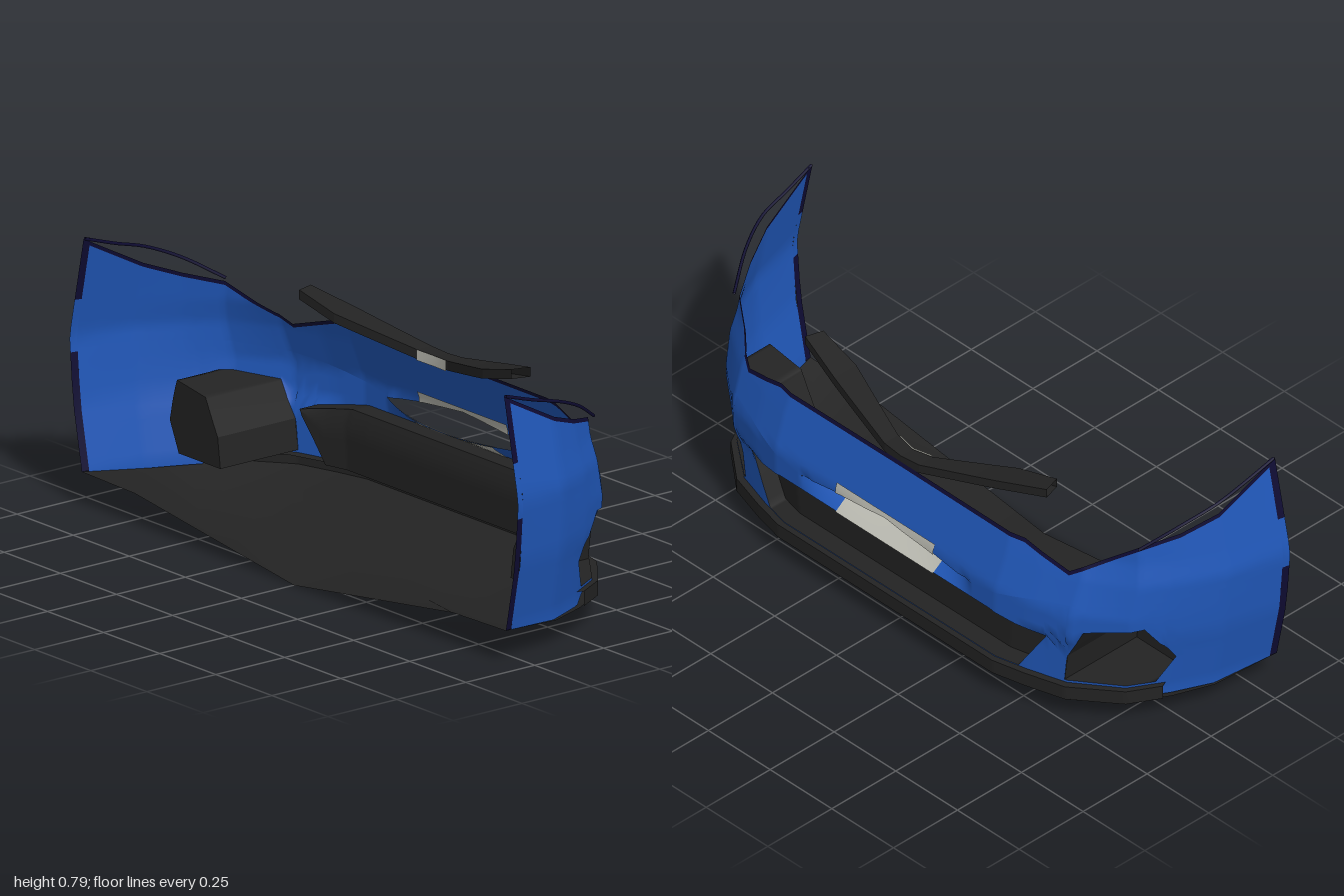
import * as THREE from 'three';

const mat = (name, color) => Object.assign(
  new THREE.MeshStandardMaterial({ color, side: THREE.DoubleSide }), { name });

// piecewise-linear curve through [x, y] pairs
const curve = (...p) => (x) => {
  if (x <= p[0][0]) return p[0][1];
  for (let i = 1; i < p.length; i++) {
    if (x <= p[i][0]) {
      const [a, b] = [p[i - 1], p[i]];
      return a[1] + (b[1] - a[1]) * (x - a[0]) / (b[0] - a[0]);
    }
  }
  return p[p.length - 1][1];
};

// surface sheet: columns at each u, n rows from t = 0 to 1
function sheet(us, n, f) {
  const pos = [], idx = [];
  us.forEach((u, i) => {
    for (let j = 0; j <= n; j++) {
      pos.push(...f(u, j / n));
      if (i && j) {
        const d = i * (n + 1) + j, b = d - n - 1;
        idx.push(b - 1, d - 1, d, b - 1, d, b);
      }
    }
  });
  const g = new THREE.BufferGeometry();
  g.setAttribute('position', new THREE.Float32BufferAttribute(pos, 3));
  g.setIndex(idx);
  g.computeVertexNormals();
  return g;
}

// plan outline, side bulge and vertical lean of the bumper skin
const planZ = curve([0, -0.31], [0.45, -0.31], [0.56, -0.285], [0.69, -0.247],
  [0.83, -0.14], [0.9, -0.02], [0.955, 0.1], [1, 0.31]);
const bulge = curve([0.1, 0.945], [0.3, 0.985], [0.49, 1], [0.61, 0.975], [0.79, 0.937]);
const lean = curve([0.1, 0.018], [0.265, 0.018], [0.285, 0], [0.38, 0], [0.56, 0.065], [0.8, 0.08]);
const leanFade = curve([0.7, 1], [0.83, 0.6], [1, 0]);
// the face below the slit folds inward towards it
const fold = curve([0.3, 0], [0.342, 0.085], [0.345, 0.085], [0.352, 0]);
const skin = (u, y, dz = 0) => {
  const a = Math.abs(u);
  const inward = fold(y) * Math.max(0, 1 - (a / 0.35) ** 2);
  return [u * bulge(y), y, planZ(a) + lean(y) * leanFade(a) + inward + dz];
};

// edges of the skin and its openings, by distance from the centre
const bottom = curve([0, 0.12], [0.86, 0.12], [0.885, 0.08], [0.955, 0.08], [1, 0.1]);
const openLo = curve([0, 0.124], [0.53, 0.124], [0.61, 0.27], [0.679, 0.2], [0.68, 0.13],
  [0.875, 0.13], [0.9, 0.22], [1, 0.22]);
const openHi = curve([0, 0.3], [0.43, 0.3], [0.61, 0.27], [0.679, 0.2], [0.68, 0.22],
  [0.722, 0.325], [0.85, 0.345], [0.9, 0.22], [1, 0.22]);
const slitLo = curve([0, 0.342], [0.35, 0.345], [0.6, 0.4], [1, 0.45]);
const slitHi = curve([0, 0.387], [0.18, 0.37], [0.35, 0.345], [0.6, 0.4], [1, 0.45]);
const top = curve([0, 0.552], [0.5, 0.55], [0.65, 0.505], [0.83, 0.615], [0.9, 0.645],
  [0.955, 0.685], [1, 0.79]);
const trimLine = (a) => top(a) - 0.012;

const corners = [0.35, 0.43, 0.45, 0.53, 0.61, 0.65, 0.679, 0.68, 0.69, 0.722, 0.83, 0.85,
  0.875, 0.885, 0.9, 0.955, 0.995, 1];
function span(from, to) {
  const s = new Set([from, to]);
  for (let i = -50; i <= 50; i++) s.add(i / 50);
  corners.forEach((c) => s.add(c).add(-c));
  return [...s].filter((u) => u >= from && u <= to).sort((a, b) => a - b);
}

export function createModel() {
  const blue = mat('blue paint', 0x2057b8);
  const navy = mat('navy edge', 0x0e0b32);
  const dark = mat('dark plastic', 0x232323);
  const pale = mat('pale plate', 0xb9b9b0);
  const root = new THREE.Group();
  root.name = 'frontBumper';
  const add = (name, geo, m) => {
    const mesh = new THREE.Mesh(geo, m);
    mesh.name = name;
    root.add(mesh);
  };
  const band = (from, to, lo, hi, n = 6, dz = 0) => sheet(span(from, to), n, (u, t) => {
    const a = Math.abs(u);
    return skin(u, lo(a) + (hi(a) - lo(a)) * t, dz);
  });

  // painted skin in three bands around the openings
  add('lowerSkin', band(-0.995, 0.995, bottom, openLo), blue);
  add('middleSkin', band(-0.995, 0.995, openHi, slitLo), blue);
  add('upperSkin', band(-0.995, 0.995, slitHi, trimLine, 10), blue);
  add('topEdge', band(-0.995, 0.995, trimLine, top, 1), navy);

  // rear edges, dark with a painted middle
  for (const s of [-1, 1]) {
    const ys = [0.1, 0.44, 0.6, 0.79];
    for (let i = 0; i < 3; i++) {
      add('rearEdge', band(Math.min(s, s * 0.995), Math.max(s, s * 0.995),
        () => ys[i], () => ys[i + 1], 4), i === 1 ? blue : navy);
    }
  }

  // number plate area, inside and outside, above and below the slit
  for (const dz of [-0.004, 0.004]) {
    add('plateLower', band(-0.2, 0.2, () => 0.3, slitLo, 6, dz), pale);
    add('plateUpper', band(-0.2, 0.2, slitHi, () => 0.4, 2, dz), pale);
  }

  // recessed grille with its ledges
  const depth = 0.06;
  const grillePoint = (u, y, t) => {
    const [x, , z] = skin(u, y);
    return [x, y, z + t * depth];
  };
  add('grille', sheet(span(-0.61, 0.61), 4, (u, t) => {
    const a = Math.abs(u);
    return grillePoint(u, openLo(a) + (openHi(a) - openLo(a)) * t, 1);
  }), dark);
  for (const edge of [openLo, openHi]) {
    add('grilleLedge', sheet(span(-0.61, 0.61), 1,
      (u, t) => grillePoint(u, edge(Math.abs(u)), t)), dark);
  }

  // fog lamp pockets running straight back
  for (const s of [-1, 1]) {
    const us = span(0.68, 0.9);
    const wall = (u, y, t) => {
      const [x, , z] = skin(u, y);
      return [s * x, y, z + (0.05 - z) * t];
    };
    add('fogPocketBack', sheet(us, 2, (u, t) =>
      wall(u, openLo(u) + (openHi(u) - openLo(u)) * t, 1)), dark);
    add('fogPocketFloor', sheet(us, 1, (u, t) => wall(u, openLo(u), t)), dark);
    add('fogPocketRoof', sheet(us, 1, (u, t) => wall(u, openHi(u), t)), dark);
    add('fogPocketSide', sheet([0.13, 0.22], 1, (y, t) => wall(0.68, y, t)), dark);
  }

  // front lip: outer face and top ledge
  const lip = (u, y) => [u * 0.965, y, planZ(Math.abs(u)) - 0.001];
  add('lipFace', sheet(span(-0.885, 0.885), 1, (u, t) => lip(u, 0.078 + 0.044 * t)), dark);
  add('lipLedge', sheet(span(-0.885, 0.885), 1, (u, t) => {
    const [x, y, z] = lip(u, 0.122);
    return [x * (1 - 0.03 * t), y, z + 0.05 * t];
  }), dark);

  // shallow undertray; its rear edge rises from the middle to both sides
  const halfWidth = curve([-0.31, 0.435], [-0.285, 0.54], [-0.247, 0.668], [-0.14, 0.8],
    [-0.02, 0.865], [0.1, 0.91], [0.31, 0.945]);
  const keel = curve([-0.31, 0.08], [-0.14, 0.03], [0.1, 0], [0.31, 0]);
  const rim = curve([-0.31, 0.08], [0.1, 0.08], [0.31, 0.1]);
  const rearRise = curve([0.1, 0], [0.31, 0.095]);
  const columns = [-1, -0.75, -0.375, 0, 0.375, 0.75, 1];
  add('undertray', sheet([-0.31, -0.285, -0.247, -0.14, -0.02, 0.1, 0.31], 6, (z, t) => {
    const v = columns[Math.round(t * 6)], a = Math.abs(v);
    const y = a === 1 ? rim(z) : keel(z) + rearRise(z) * a / 0.75;
    return [v * halfWidth(z), y, z];
  }), dark);

  // raised upper blade, broadest halfway along each arm
  const bladeY = curve([0, 0.545], [0.07, 0.55], [0.25, 0.59], [0.49, 0.645]);
  const bladeZ = curve([0, -0.248], [0.07, -0.245], [0.33, -0.19], [0.49, -0.15]);
  const bladeDepth = curve([0, 0.045], [0.33, 0.085], [0.49, 0.055]);
  const section = [[0, 0], [0, 0.028], [1, 0.028], [1, 0], [0, 0]];
  const blade = sheet([-0.49, -0.33, -0.25, -0.16, -0.07, 0, 0.07, 0.16, 0.25, 0.33, 0.49], 4,
    (x, t) => {
      const a = Math.abs(x), [k, dy] = section[Math.round(t * 4)];
      const dz = k * bladeDepth(a);
      return [x - (a > 0.48 ? Math.sign(x) * dz * 0.3 : 0), bladeY(a) + dy, bladeZ(a) + dz];
    }).toNonIndexed();
  blade.computeVertexNormals();
  add('upperBlade', blade, dark);

  // pale panel on the inner face of the blade
  add('bladePanel', sheet([-0.065, 0, 0.065], 1, (x, t) => {
    const a = Math.abs(x);
    return [x, bladeY(a) - 0.002 + 0.032 * t, bladeZ(a) + bladeDepth(a) + 0.004];
  }), pale);

  // thin rims over the headlight cut-outs
  for (const s of [-1, 1]) {
    const path = new THREE.CatmullRomCurve3([[0.937, 0.79, 0.305], [0.93, 0.757, 0.2],
      [0.922, 0.73, 0.1], [0.885, 0.688, 0], [0.82, 0.62, -0.11]]
      .map(([x, y, z]) => new THREE.Vector3(s * x, y, z)));
    add('headlightRim', new THREE.TubeGeometry(path, 20, 0.005, 5), navy);
  }
  return root;
}
